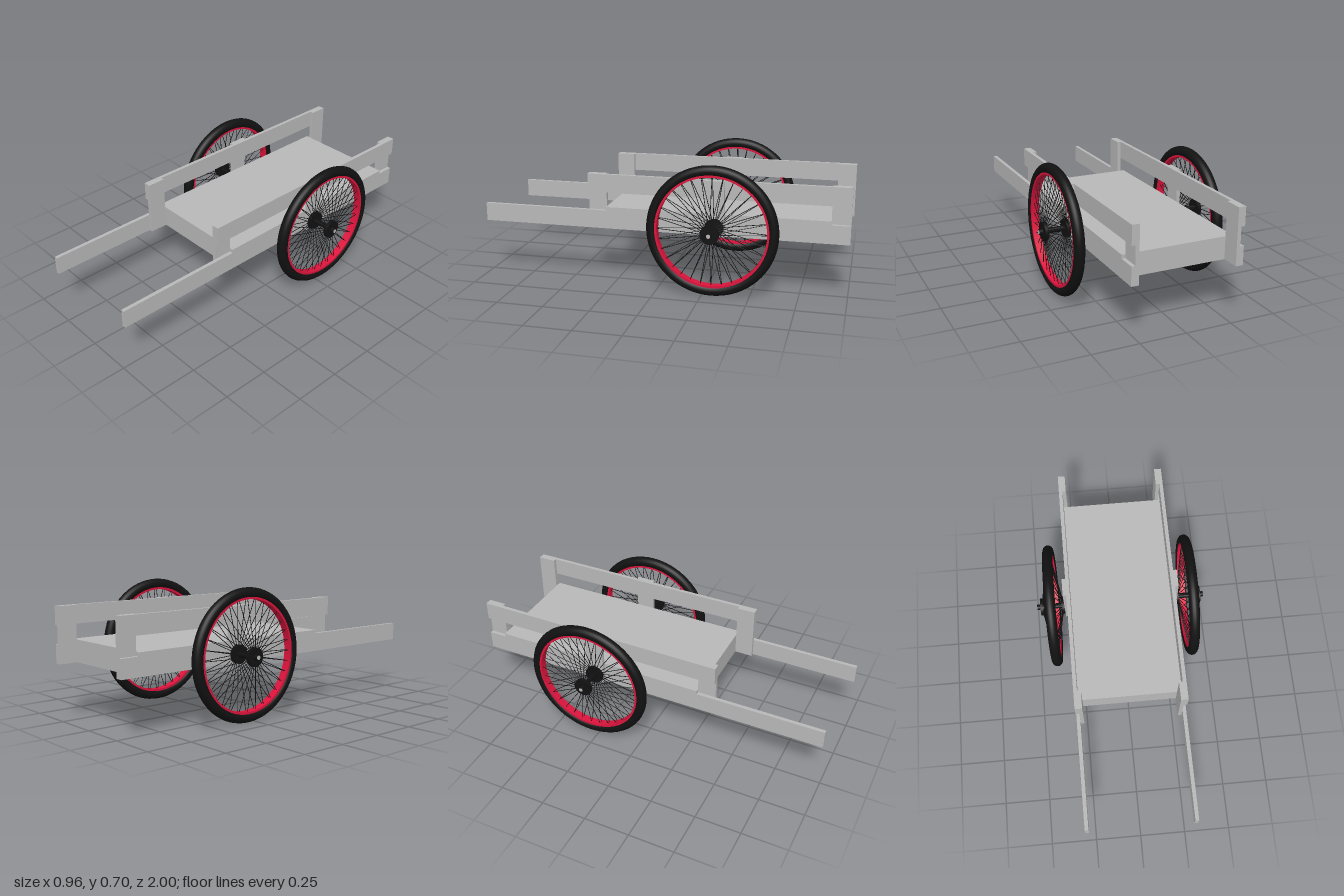
import * as THREE from 'three';
import { mergeGeometries } from 'three/addons/utils/BufferGeometryUtils.js';

const wood = new THREE.MeshStandardMaterial({ color: 0xb8b8b8 });
wood.name = 'plain grey';
const rubber = new THREE.MeshStandardMaterial({ color: 0x111111 });
rubber.name = 'black';
const red = new THREE.MeshStandardMaterial({ color: 0xdc143c });
red.name = 'crimson';

const AXLE_Y = 0.35, AXLE_Z = -0.3, WHEEL_X = 0.39, SPOKES = 32;

function add(parent, name, geometry, material) {
  const mesh = new THREE.Mesh(geometry, material);
  mesh.name = name;
  parent.add(mesh);
  return mesh;
}

// Box given by its limits on each axis
function board(parent, name, [x0, x1], [y0, y1], [z0, z1]) {
  const mesh = add(parent, name, new THREE.BoxGeometry(x1 - x0, y1 - y0, z1 - z0), wood);
  mesh.position.set((x0 + x1) / 2, (y0 + y1) / 2, (z0 + z1) / 2);
}

// Cylinder lying along x
function barrel(radius, x0, x1, sides = 24) {
  return new THREE.CylinderGeometry(radius, radius, x1 - x0, sides)
    .rotateZ(Math.PI / 2).translate((x0 + x1) / 2, 0, 0);
}

// Thin rod between two points
function rod(a, b, radius) {
  const dir = b.clone().sub(a);
  const turn = new THREE.Quaternion().setFromUnitVectors(
    new THREE.Vector3(0, 1, 0), dir.clone().normalize());
  return new THREE.CylinderGeometry(radius, radius, dir.length(), 5, 1, true)
    .applyQuaternion(turn).translate(...a.clone().add(b).multiplyScalar(0.5).toArray());
}

function makeWheel() {
  const wheel = new THREE.Group();
  wheel.name = 'wheel';

  add(wheel, 'tire', new THREE.TorusGeometry(0.32, 0.029, 20, 72).rotateY(Math.PI / 2), rubber);

  // Rim: closed ring section turned about the axle
  const section = [[0.29, -0.022], [0.303, -0.022], [0.303, 0.022], [0.29, 0.022], [0.29, -0.022]];
  const rimParts = section.slice(0, -1).map((p, i) => new THREE.LatheGeometry(
    [p, section[i + 1]].map(([r, x]) => new THREE.Vector2(r, x)), 72));
  add(wheel, 'rim', mergeGeometries(rimParts).rotateZ(Math.PI / 2), red).material.side = THREE.DoubleSide;

  // Hub: tube with a flange at each end
  add(wheel, 'hub', mergeGeometries([
    barrel(0.015, -0.07, 0.09),
    barrel(0.05, -0.07, -0.05),
    barrel(0.05, 0.05, 0.07),
  ]), rubber);

  // Spokes from both flanges to the middle of the rim
  const spokes = [];
  for (const side of [-1, 1]) {
    for (let i = 0; i < SPOKES; i++) {
      const angle = (i / SPOKES) * Math.PI * 2;
      const at = (x, r) => new THREE.Vector3(x, Math.cos(angle) * r, Math.sin(angle) * r);
      spokes.push(rod(at(side * 0.056, 0.045), at(side * 0.006, 0.292), 0.0018));
    }
  }
  add(wheel, 'spokes', mergeGeometries(spokes), rubber);
  return wheel;
}

export function createModel() {
  const cart = new THREE.Group();
  cart.name = 'handcart';

  // Deck with cross beams below
  board(cart, 'deck', [-0.3, 0.3], [0.4, 0.42], [-0.9, 0.3]);
  for (let i = 0; i < 4; i++) {
    const z = -0.89 + i * (1.18 / 3);
    board(cart, 'crossBeam', [-0.28, 0.28], [0.3, 0.4], [z - 0.01, z + 0.01]);
  }

  // Shafts, rails, posts and wheels on both sides
  for (const side of [-1, 1]) {
    const span = (a, b) => (side > 0 ? [a, b] : [-b, -a]);
    board(cart, 'shaft', span(0.28, 0.3), [0.3, 0.4], [-1, 1]);
    board(cart, 'rail', span(0.28, 0.3), [0.5, 0.6], [-1, 0.4]);
    board(cart, 'frontPost', span(0.26, 0.28), [0.3, 0.6], [0.3, 0.4]);
    board(cart, 'backPost', span(0.26, 0.28), [0.3, 0.6], [-1, -0.9]);
    board(cart, 'axlePost', span(0.3, 0.32), [0.3, 0.6], [-0.35, -0.25]);

    const wheel = makeWheel();
    wheel.position.set(side * WHEEL_X, AXLE_Y, AXLE_Z);
    if (side < 0) wheel.rotation.y = Math.PI;
    cart.add(wheel);
  }

  // Axle running through both hubs
  add(cart, 'axle', barrel(0.011, -0.481, 0.481, 20), wood).position.set(0, AXLE_Y, AXLE_Z);
  return cart;
}
